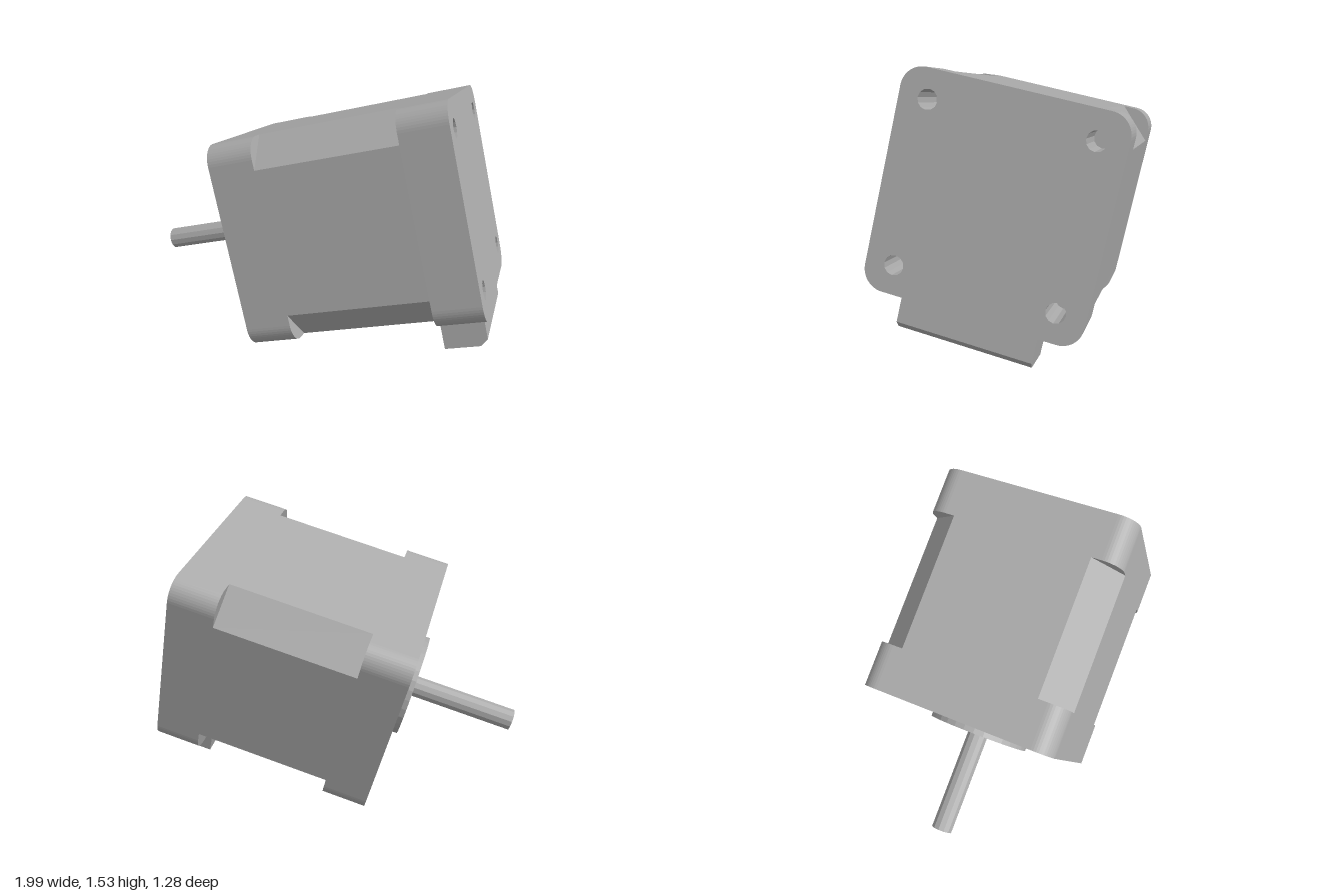
import * as THREE from 'three';

const H = 0.556;        // half width of the square body
const LENGTH = 1.26;    // body length along its axis
const CAP = 0.25;       // thickness of each end cap
const HOLE = 0.41;      // screw hole offset from the axis

// Square outline with rounded corners
function roundedSquare(h, r) {
  const s = new THREE.Shape();
  const k = h - r;
  s.absarc(k, k, r, 0, Math.PI / 2);
  s.absarc(-k, k, r, Math.PI / 2, Math.PI);
  s.absarc(-k, -k, r, Math.PI, Math.PI * 1.5);
  s.absarc(k, -k, r, Math.PI * 1.5, Math.PI * 2);
  s.closePath();
  return s;
}

// Square outline with cut corners
function chamferedSquare(h, c) {
  const k = h - c;
  return new THREE.Shape(
    [[h, -k], [h, k], [k, h], [-k, h], [-h, k], [-h, -k], [-k, -h], [k, -h]]
      .map(([x, y]) => new THREE.Vector2(x, y)));
}

// Extrude an outline along the motor axis, starting at x
function alongAxis(shape, x, depth) {
  return new THREE.ExtrudeGeometry(shape, { depth, bevelEnabled: false, curveSegments: 6 })
    .rotateY(Math.PI / 2).translate(x, 0, 0);
}

export function createModel() {
  const metal = new THREE.MeshStandardMaterial({ color: 0xaaaaaa, flatShading: true });
  metal.name = 'grey metal';

  const motor = new THREE.Group();
  motor.name = 'motor';
  const add = (name, geometry) => {
    const mesh = new THREE.Mesh(geometry, metal);
    mesh.name = name;
    motor.add(mesh);
  };

  // End caps with four screw holes each
  const capShape = roundedSquare(H, 0.11);
  for (const sx of [-1, 1]) for (const sy of [-1, 1]) {
    const hole = new THREE.Path();
    hole.absarc(sx * HOLE, sy * HOLE, 0.05, 0, Math.PI * 2, true);
    capShape.holes.push(hole);
  }
  add('shaftEndCap', alongAxis(capShape, -LENGTH, CAP));
  add('rearEndCap', alongAxis(capShape, -CAP, CAP));

  // Middle section with cut corners
  add('middleBody', alongAxis(chamferedSquare(H, 0.165), CAP - LENGTH, LENGTH - 2 * CAP));

  // Raised pilot ring and output shaft
  add('pilotBoss', new THREE.CylinderGeometry(0.29, 0.29, 0.05, 32)
    .rotateZ(Math.PI / 2).translate(-LENGTH - 0.015, 0, 0));
  add('shaft', new THREE.CylinderGeometry(0.06, 0.06, 0.64, 12)
    .rotateZ(Math.PI / 2).translate(-LENGTH - 0.31, 0, 0));

  // Plug housing under the rear cap, with its outer edge chamfered
  const plug = new THREE.Shape(
    [[-0.265, -0.5], [-0.265, -0.73], [-0.075, -0.73], [-0.035, -0.695], [-0.035, -0.5]]
      .map(([x, y]) => new THREE.Vector2(x, y)));
  add('plugHousing', new THREE.ExtrudeGeometry(plug, { depth: 0.7, bevelEnabled: false })
    .translate(0, 0, -0.35));

  // Tilted pose: axis, up and side directions
  const axis = new THREE.Vector3(0.965, 0.26, -0.03).normalize();
  const side = new THREE.Vector3(-0.012, 0.16, 0.985);
  const up = side.clone().cross(axis).normalize();
  side.crossVectors(axis, up);
  motor.quaternion.setFromRotationMatrix(new THREE.Matrix4().makeBasis(axis, up, side));
  motor.position.set(0.85, 0.928, -0.015);

  const model = new THREE.Group();
  model.name = 'tiltedMotor';
  model.add(motor);
  return model;
}
